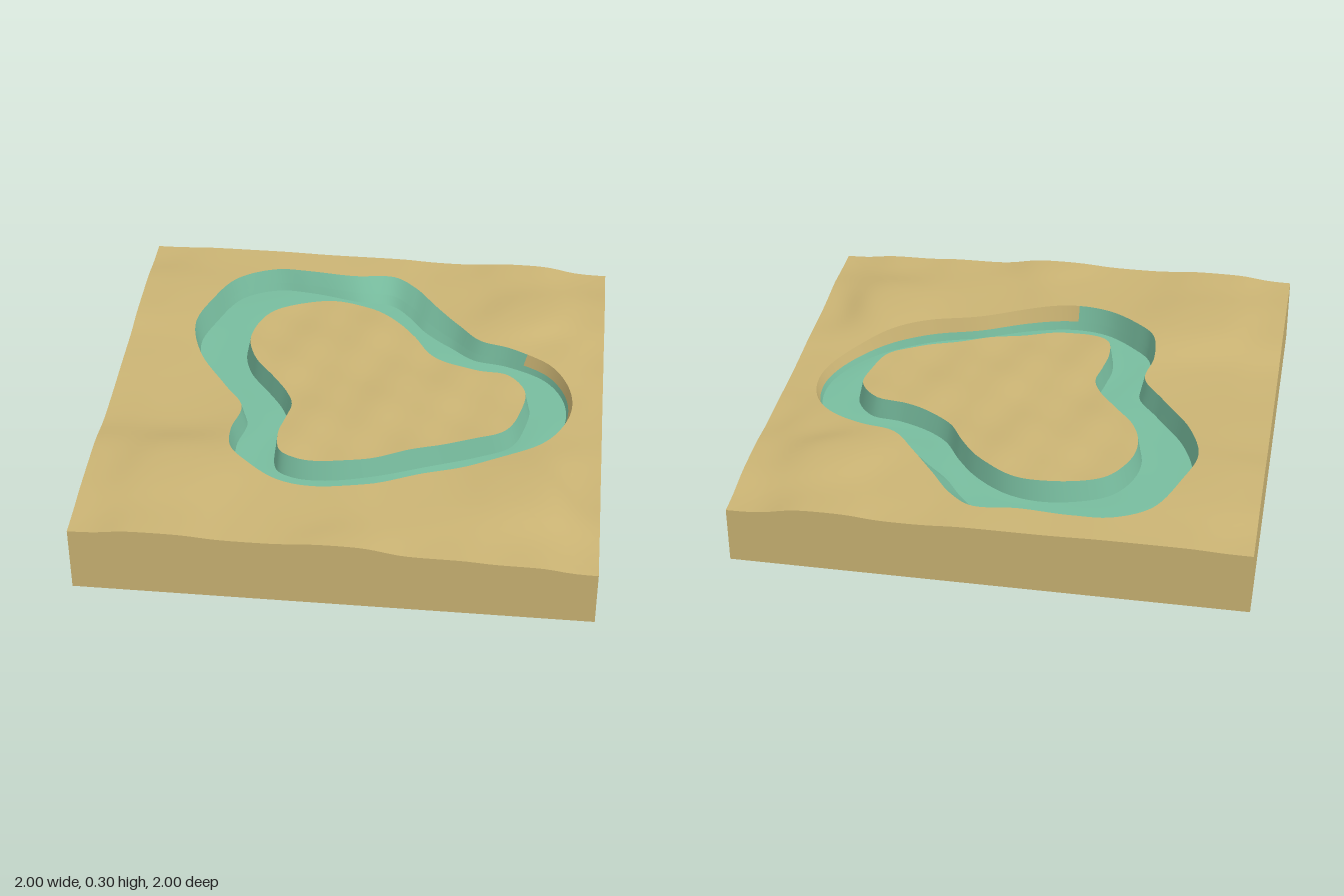
import * as THREE from 'three';
import { toCreasedNormals } from 'three/addons/utils/BufferGeometryUtils.js';

const CX = 0.02, CZ = -0.08, FLOOR = 0.17;

// Banks of the channel as x, z pairs
const OUTER = [-0.45, -0.855, -0.6, -0.77, -0.69, -0.58, -0.735, -0.4, -0.68, -0.2, -0.55, 0, -0.46, 0.14, -0.48, 0.3,
  -0.46, 0.44, -0.38, 0.53, -0.25, 0.62, -0.1, 0.645, 0.1, 0.6, 0.3, 0.51, 0.5, 0.44, 0.7, 0.31, 0.82, 0.16, 0.875, 0,
  0.86, -0.15, 0.78, -0.28, 0.62, -0.37, 0.48, -0.41, 0.38, -0.52, 0.27, -0.66, 0.18, -0.78, 0.08, -0.855, -0.1, -0.845, -0.3, -0.86];
const INNER = [-0.12, -0.645, -0.25, -0.635, -0.4, -0.57, -0.47, -0.46, -0.49, -0.33, -0.45, -0.2, -0.36, -0.08, -0.29, 0.02,
  -0.26, 0.1, -0.275, 0.2, -0.29, 0.3, -0.27, 0.41, -0.2, 0.45, -0.08, 0.455, 0.1, 0.41, 0.3, 0.33, 0.5, 0.25, 0.62, 0.18,
  0.67, 0.05, 0.68, -0.08, 0.6, -0.18, 0.48, -0.2, 0.35, -0.25, 0.27, -0.31, 0.2, -0.42, 0.12, -0.52, 0, -0.61];

// Ground heights as x, z, y
const HILLS = [-1, 1, 0.275, -0.7, 1, 0.295, -0.3, 1, 0.28, 0, 1, 0.293, 0.4, 1, 0.26, 0.7, 1, 0.25, 1, 1, 0.23,
  1, 0.5, 0.228, 1, 0, 0.226, 1, -0.35, 0.235, 1, -0.65, 0.25, 1, -1, 0.23,
  0.6, -1, 0.265, 0.35, -1, 0.25, 0, -1, 0.26, -0.65, -1, 0.265, -1, -1, 0.257,
  -1, -0.6, 0.275, -1, -0.2, 0.26, -1, 0.15, 0.255, -1, 0.6, 0.285,
  -0.7, 0.6, 0.304, -0.7, 0.15, 0.255, 0.72, 0.58, 0.285, 0.3, 0.7, 0.265, -0.1, 0.8, 0.28, 0.7, -0.6, 0.28, 0.8, -0.4, 0.25,
  0.9, 0, 0.235, -0.85, -0.6, 0.28, 0.35, -0.75, 0.255];

function groundHeight(x, z) {
  let sum = 0, total = 0;
  for (let i = 0; i < HILLS.length; i += 3) {
    const d = (x - HILLS[i]) ** 2 + (z - HILLS[i + 1]) ** 2;
    const w = 1 / (d + 0.015) ** 2;
    sum += w * HILLS[i + 2];
    total += w;
  }
  return sum / total;
}

const islandHeight = (x, z) => 0.256
  + 0.005 * Math.sin(9 * x + 3 * z) * Math.cos(8 * z - 2 * x)
  + 0.003 * Math.sin(21 * x - 9 * z) * Math.sin(17 * z + 6 * x);

// Turns a closed bank line into a radius for each direction from the centre
function radiusOf(flat) {
  const pts = [];
  for (let i = 0; i < flat.length; i += 2) pts.push(new THREE.Vector3(flat[i] - CX, 0, flat[i + 1] - CZ));
  const samples = new THREE.CatmullRomCurve3(pts, true).getPoints(400)
    .map(p => [Math.atan2(p.z, p.x), Math.hypot(p.x, p.z)]).sort((a, b) => a[0] - b[0]);
  const last = samples[samples.length - 1];
  samples.push([samples[0][0] + 2 * Math.PI, samples[0][1]]);
  samples.unshift([last[0] - 2 * Math.PI, last[1]]);
  return t => {
    const k = Math.max(1, samples.findIndex(s => s[0] >= t));
    const [a, b] = [samples[k - 1], samples[k]];
    return a[1] + (b[1] - a[1]) * (t - a[0]) / Math.max(1e-6, b[0] - a[0]);
  };
}

// Distance from the centre to the square edge
const edgeRadius = t => {
  const c = Math.cos(t), s = Math.sin(t);
  return Math.min(((c > 0 ? 1 : -1) - CX) / c, ((s > 0 ? 1 : -1) - CZ) / s);
};

export function createModel() {
  const group = new THREE.Group();
  const sand = new THREE.MeshStandardMaterial({ name: 'sand', color: 0xcbb474 });
  const water = new THREE.MeshStandardMaterial({ name: 'tealWater', color: 0x78bd9f });

  // Directions, with the four corners of the block included
  const angles = [];
  for (let i = 0; i < 280; i++) angles.push(-Math.PI + 0.0031 + i * 2 * Math.PI / 280);
  for (const x of [-1, 1]) for (const z of [-1, 1]) angles.push(Math.atan2(z - CZ, x - CX));
  angles.sort((a, b) => a - b);
  const n = angles.length;

  const outer = radiusOf(OUTER), inner = radiusOf(INNER);
  const at = (t, r) => [CX + r * Math.cos(t), CZ + r * Math.sin(t)];
  // The far bank slopes gently, the rest is steep
  const bankWidth = t => 0.022 + 0.08 * Math.exp(-(((t + 1.35) / 0.5) ** 2));
  const onGround = (t, r) => { const [x, z] = at(t, r); return [x, groundHeight(x, z), z]; };
  const onIsland = (t, r) => { const [x, z] = at(t, r); return [x, islandHeight(x, z), z]; };
  const level = (t, r, y) => { const [x, z] = at(t, r); return [x, y, z]; };

  // Joins rings of points; pick chooses which directions are filled
  function loft(name, material, rings, { crease = 0, pick = () => true } = {}) {
    const pos = [], index = [];
    for (const ring of rings) for (const t of angles) pos.push(...ring(t));
    for (let i = 0; i < rings.length - 1; i++) for (let j = 0; j < n; j++) {
      if (!pick(angles[j])) continue;
      const k = (j + 1) % n, a = i * n + j, b = i * n + k;
      index.push(a, b, a + n, b, b + n, a + n);
    }
    let geo = new THREE.BufferGeometry();
    geo.setAttribute('position', new THREE.Float32BufferAttribute(pos, 3));
    geo.setIndex(index);
    if (crease) geo = toCreasedNormals(geo, crease);
    else geo.computeVertexNormals();
    const mesh = new THREE.Mesh(geo, material);
    mesh.name = name;
    group.add(mesh);
  }
  const steps = (count, make) => Array.from({ length: count + 1 }, (_, i) => make(i / count));

  // Island and its wall
  loft('islandTop', sand, steps(20, f => t => onIsland(t, inner(t) * Math.max(f, 0.001))));
  loft('islandWall', water, [t => onIsland(t, inner(t)), t => level(t, inner(t) + 0.02, FLOOR)]);

  // Channel floor
  loft('channelFloor', water, steps(4, f => t => {
    const a = inner(t) + 0.02, b = outer(t) - bankWidth(t);
    return level(t, a + (b - a) * f, FLOOR + 0.003 * Math.sin(Math.PI * f) * Math.sin(5 * t));
  }));

  // Outer bank, bare sand along the front and one side
  const foot = t => level(t, outer(t) - bankWidth(t), FLOOR);
  const rim = t => onGround(t, outer(t));
  const mid = t => { const a = foot(t), b = rim(t); return a.map((v, i) => v + (b[i] - v) * 0.35); };
  const bare = t => t > -0.4 && t < 1.75;
  loft('outerBankFoot', water, [foot, mid]);
  loft('outerBankWater', water, [mid, rim], { pick: t => !bare(t) });
  loft('outerBankSand', sand, [mid, rim], { pick: bare });

  // Rolling ground, sides and underside of the block
  loft('ground', sand, steps(16, f => t => onGround(t, outer(t) + (edgeRadius(t) - outer(t)) * f)));
  loft('blockSides', sand, [t => onGround(t, edgeRadius(t)), t => level(t, edgeRadius(t), 0)], { crease: 0.6 });
  loft('blockBase', sand, [t => level(t, edgeRadius(t), 0), t => level(t, 0.001, 0)]);

  return group;
}
